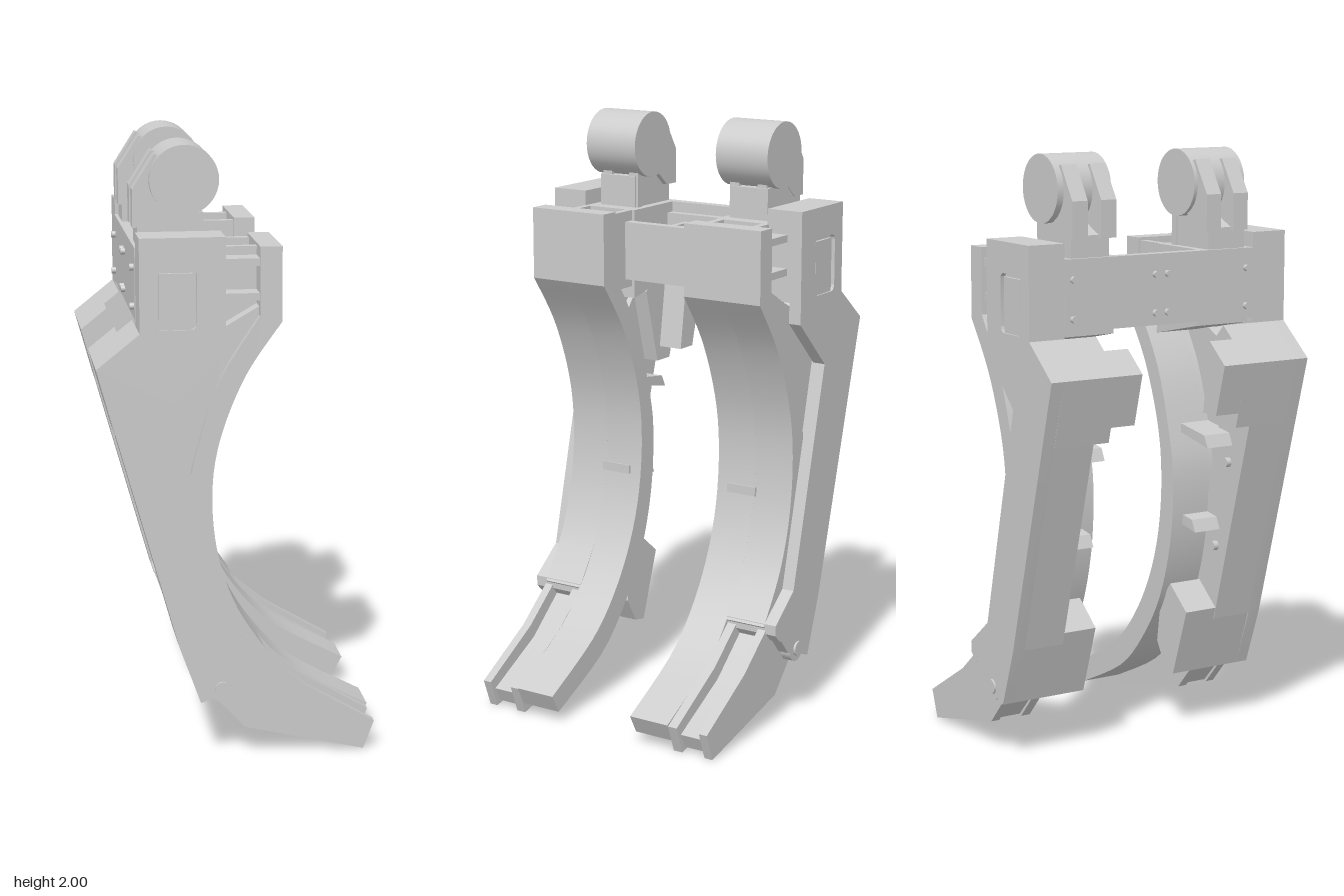
import * as THREE from 'three';
import { toCreasedNormals } from 'three/addons/utils/BufferGeometryUtils.js';

const material = new THREE.MeshStandardMaterial({ color: 0xcccccc });
const v2 = (p) => new THREE.Vector2(p[0], p[1]);

function add(parent, name, geometry) {
  const mesh = new THREE.Mesh(geometry, material);
  mesh.name = name;
  parent.add(mesh);
  return mesh;
}

// Side profile (x, y) extruded between two z values
function slab(parent, name, points, z0, z1, hole) {
  const shape = new THREE.Shape(points.map(v2));
  if (hole) shape.holes.push(hole);
  const lo = Math.min(z0, z1);
  const geo = new THREE.ExtrudeGeometry(shape, { depth: Math.abs(z1 - z0), bevelEnabled: false, curveSegments: 6 });
  geo.translate(0, 0, lo);
  return add(parent, name, toCreasedNormals(geo, 0.4));
}

const rect = (x0, y0, x1, y1) => [[x0, y0], [x1, y0], [x1, y1], [x0, y1]];

function roundedRect(x0, y0, x1, y1, r) {
  const p = new THREE.Path();
  p.absarc(x1 - r, y1 - r, r, 0, Math.PI / 2);
  p.absarc(x0 + r, y1 - r, r, Math.PI / 2, Math.PI);
  p.absarc(x0 + r, y0 + r, r, Math.PI, Math.PI * 1.5);
  p.absarc(x1 - r, y0 + r, r, Math.PI * 1.5, Math.PI * 2);
  p.closePath();
  return p;
}

// Cylinder along z (or along x)
function pin(parent, name, x, y, z, r, length, alongX = false, sides = 16) {
  const geo = new THREE.CylinderGeometry(r, r, length, sides);
  if (alongX) geo.rotateZ(Math.PI / 2); else geo.rotateX(Math.PI / 2);
  add(parent, name, geo).position.set(x, y, z);
}

const smooth = (pts, n = 32) => new THREE.SplineCurve(pts.map(v2)).getPoints(n).map((p) => [p.x, p.y]);

// Concave gripping face and the back of its strip, top to bottom
const gripFace = [[0.135, 1.45], [0.02, 1.28], [-0.06, 1.08], [-0.087, 0.9], [-0.07, 0.7], [-0.01, 0.52], [0.09, 0.36], [0.22, 0.235], [0.455, 0.105]];
const gripBack = [[0.065, 1.47], [-0.06, 1.27], [-0.13, 1.06], [-0.16, 0.9], [-0.145, 0.68], [-0.08, 0.47], [0.03, 0.3], [0.17, 0.165], [0.42, 0.04]];
const strip = (count) => [[0.065, 1.69], [0.135, 1.69], ...smooth(gripFace.slice(0, count)), ...smooth(gripBack.slice(0, count)).reverse()];

// Outer edge of the leg
const leg = [[-0.32, 1.43], [-0.05, 1.43], [-0.05, 1.36], [-0.215, 1.2], [-0.03, 0.46], [0.085, 0.35], [0, 0.25], [-0.13, 0.205], [-0.2, 0.4], [-0.457, 1.32]];

function buildFinger(s) {
  const g = new THREE.Group();
  g.name = s > 0 ? 'frontFinger' : 'rearFinger';
  const part = (name, pts, z0, z1, hole) => slab(g, name, pts, s * z0, s * z1, hole);

  // Head with a recessed window on its outer face
  part('headBlock', rect(-0.32, 1.43, -0.05, 1.73), 0.36, 0.472);
  part('headFace', rect(-0.32, 1.43, -0.05, 1.73), 0.472, 0.488, roundedRect(-0.27, 1.385, -0.14, 1.63, 0.02).getPoints && roundedRect(-0.27, 1.44, -0.14, 1.63, 0.02));
  part('windowPanel', rect(-0.258, 1.395, -0.152, 1.618), 0.47, 0.482);
  part('innerHead', [[-0.29, 1.43], [-0.05, 1.38], [-0.05, 1.68], [-0.29, 1.68]], 0.16, 0.36);

  // Leg: thin outer plate, narrower spine, wide shoulder at the back
  part('outerPlate', leg, 0.445, 0.488);
  part('legSpine', [[-0.32, 1.43], [-0.22, 1.3], [-0.25, 1.2], [-0.06, 0.42], [-0.2, 0.4], [-0.457, 1.32]], 0.3, 0.445);
  part('shoulderOuter', [[-0.32, 1.43], [-0.25, 1.36], [-0.32, 1.1], [-0.397, 1.1], [-0.457, 1.32]], 0.245, 0.445);
  part('shoulderInner', [[-0.37, 1.39], [-0.335, 1.15], [-0.41, 1.15], [-0.457, 1.32]], 0.157, 0.245);
  part('web', [[-0.05, 1.43], [0.07, 1.5], ...smooth(gripBack.slice(0, 7), 16), [-0.2, 0.42], [-0.32, 1.3]], 0.32, 0.42);

  // Curved gripping strip, wide above and narrow down to the tip
  part('gripStripWide', strip(7), 0.3, 0.445);
  part('gripStrip', strip(9), 0.157, 0.302);

  // Bars and cap between the head and the strip
  for (const y of [1.53, 1.64]) part('spacerBar', rect(-0.06, y - 0.012, 0.08, y + 0.012), 0.365, 0.435);
  part('innerSpacer', rect(-0.06, 1.45, 0.08, 1.6), 0.2, 0.34);
  for (const z of [0.17, 0.34]) part('spacerPlate', rect(-0.06, 1.42, 0.08, 1.68), z, z + 0.025);

  // Ribs and bolts on the inner wall
  for (const [x, y] of [[-0.24, 1.02], [-0.17, 0.72]]) {
    part('rib', [[x - 0.06, y], [x + 0.1, y + 0.03], [x + 0.1, y + 0.06], [x - 0.04, y + 0.04]], 0.2, 0.31);
    pin(g, 'wallBolt', x - 0.04, y - 0.06, s * 0.297, 0.016, 0.03);
  }

  // Knuckle at the lower end
  part('knuckleBlock', [[-0.21, 0.44], [-0.11, 0.52], [-0.05, 0.44], [-0.03, 0.3], [-0.08, 0.215], [-0.13, 0.205]], 0.18, 0.445);
  part('knuckleLip', [[-0.03, 0.46], [0.085, 0.37], [0.085, 0.335], [0.055, 0.305], [-0.06, 0.4]], 0.3, 0.488);
  pin(g, 'hingeDisc', -0.06, 0.25, s * 0.455, 0.045, 0.06, false, 20);
  pin(g, 'hingeBolt', -0.06, 0.25, s * 0.48, 0.025, 0.03);

  // Grooved claw tip: two rails over a lower floor
  const claw = [[-0.08, 0.21], [0.02, 0.1], [0.415, 0.005], [0.45, 0.1], [0.22, 0.235], [0.07, 0.36], [-0.03, 0.3]];
  part('clawRail', claw, 0.302, 0.335);
  part('clawRail', claw, 0.42, 0.45);
  part('clawFloor', [[-0.07, 0.21], [0.03, 0.105], [0.4, 0.02], [0.425, 0.07], [0.2, 0.19], [0.05, 0.32]], 0.335, 0.42);

  // Roller on its mount
  pin(g, 'roller', -0.163, 1.89, s * 0.257, 0.11, 0.196, false, 40);
  part('rollerBase', [[-0.31, 1.68], [-0.1, 1.68], [-0.1, 1.785], [-0.22, 1.79], [-0.31, 1.75]], 0.19, 0.33);
  for (const z of [0.172, 0.277]) {
    part('rollerBracket', [[-0.325, 1.74], [-0.27, 1.74], [-0.2, 1.8], [-0.2, 1.95], [-0.255, 1.97], [-0.325, 1.86]], z, z + 0.056);
    part('rollerStrut', rect(-0.13, 1.66, -0.105, 1.8), z + 0.01, z + 0.045);
  }
  return g;
}

function buildBridge() {
  const g = new THREE.Group();
  g.name = 'bridge';
  // Back plate with bolts
  slab(g, 'backPlate', rect(-0.322, 1.45, -0.285, 1.68), -0.36, 0.36);
  for (const y of [1.49, 1.615]) {
    for (const z of [-0.33, -0.023, 0.023, 0.33]) pin(g, 'plateBolt', -0.325, y, z, 0.011, 0.022, true, 10);
  }
  // Open beam between the fingers
  slab(g, 'beamFloor', rect(-0.29, 1.45, -0.02, 1.52), -0.17, 0.17);
  slab(g, 'beamFront', rect(-0.045, 1.45, -0.01, 1.645), -0.17, 0.17);
  slab(g, 'beamBack', rect(-0.29, 1.45, -0.255, 1.645), -0.17, 0.17);
  for (const z of [-0.08, 0.08]) slab(g, 'beamRib', rect(-0.26, 1.5, -0.04, 1.62), z - 0.01, z + 0.01);
  return g;
}

export function createModel() {
  const model = new THREE.Group();
  model.name = 'gripper';
  model.add(buildFinger(1), buildFinger(-1), buildBridge());
  return model;
}
